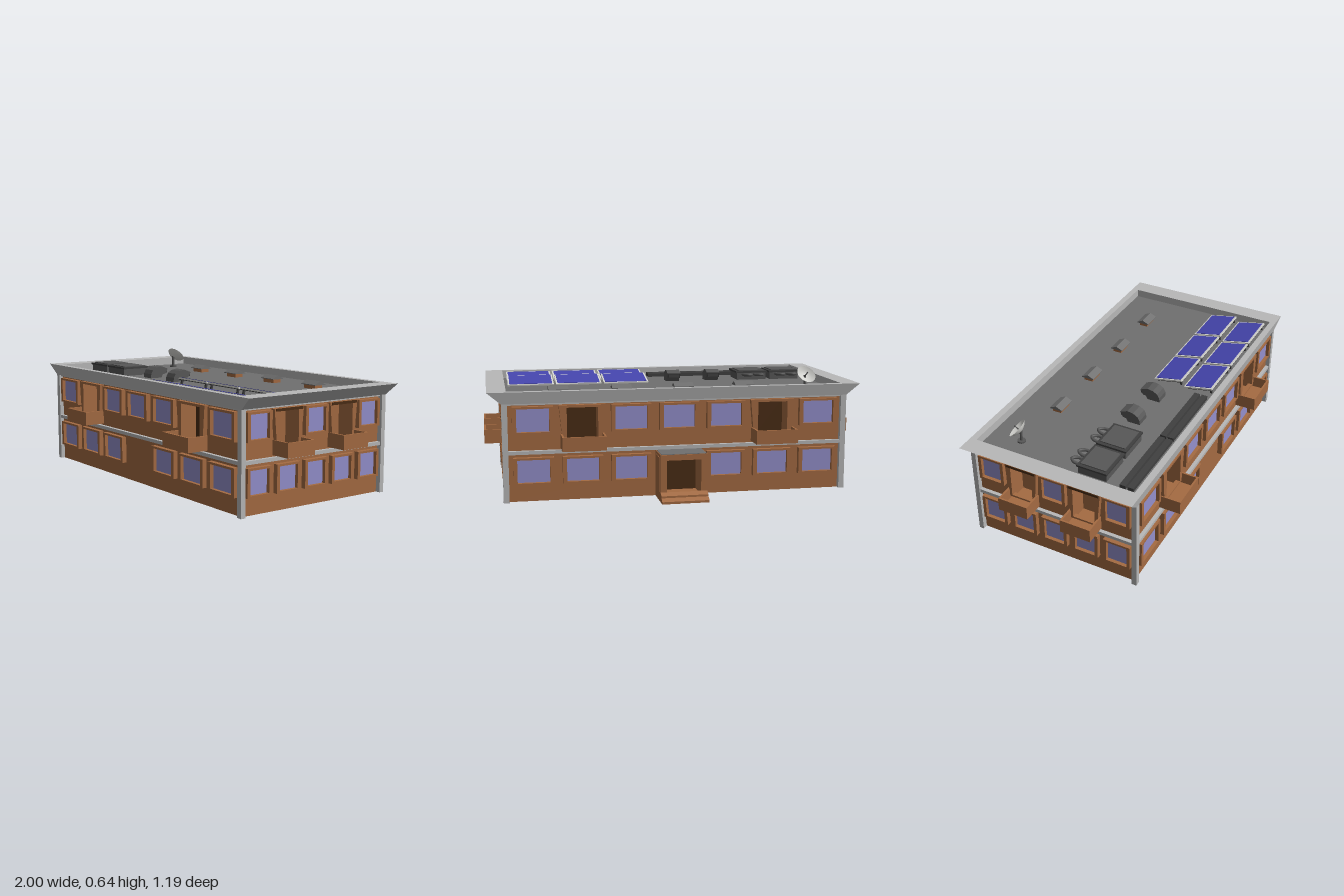
import * as THREE from 'three';

const mat = (name, color) => {
  const m = new THREE.MeshStandardMaterial({ color, side: THREE.DoubleSide });
  m.name = name;
  return m;
};

export function createModel() {
  const brick = mat('brick brown', 0xa56b42), shade = mat('dark brown', 0x4a2c14);
  const glass = mat('window lilac', 0x9490cc), trim = mat('light grey', 0xb8b8b8);
  const roof = mat('roof grey', 0x707070), metal = mat('unit grey', 0x585858);
  const dark = mat('dark grey', 0x404040), blue = mat('solar blue', 0x4646ae);
  const white = mat('pale frame', 0xd6d6d2);

  const model = new THREE.Group();
  const HX = 0.885, HZ = 0.4425, CZ = 0.0425, FLOOR = 0.527; // wall half sizes, plan centre, roof deck

  const add = (parent, name, geo, m, x = 0, y = 0, z = 0) => {
    const mesh = new THREE.Mesh(geo, m);
    mesh.name = name;
    mesh.position.set(x, y, z);
    parent.add(mesh);
    return mesh;
  };
  // box given by its limits
  const box = (parent, name, m, x0, x1, y0, y1, z0, z1) =>
    add(parent, name, new THREE.BoxGeometry(x1 - x0, y1 - y0, z1 - z0), m, (x0 + x1) / 2, (y0 + y1) / 2, (z0 + z1) / 2);
  const poly = (pts) => pts.map(([x, y]) => new THREE.Vector2(x, y));
  const rect = (x0, x1, y0, y1) => poly([[x0, y0], [x1, y0], [x1, y1], [x0, y1]]);
  const plate = (outline, holes, depth) => {
    const s = new THREE.Shape(outline);
    holes.forEach((h) => s.holes.push(new THREE.Path(h)));
    return new THREE.ExtrudeGeometry(s, { depth, bevelEnabled: false });
  };
  const group = (parent, name, x = 0, y = 0, z = 0) => {
    const g = new THREE.Group();
    g.name = name;
    g.position.set(x, y, z);
    parent.add(g);
    return g;
  };

  // raised frame with a pane set into it
  function addWindow(parent, x, y, hw, gw) {
    const g = group(parent, 'window', x, y, 0);
    add(g, 'windowFrame', plate(rect(-hw, hw, -0.071, 0.071), [rect(-gw, gw, -0.06, 0.06)], 0.026), brick);
    box(g, 'windowPane', glass, -gw, gw, -0.06, 0.06, 0.001, 0.007);
  }

  // splayed door surround with an open-topped balcony in front
  function addBalcony(parent, x, hw, dw, side) {
    const g = group(parent, 'balcony', x, 0, 0);
    const fw = hw + 0.008;
    add(g, 'doorSurround', plate(
      poly([[-fw + 0.018, 0.3], [fw - 0.018, 0.3], [fw, 0.497], [-fw, 0.497]]),
      [rect(-dw, dw, 0.31, 0.484)], 0.024), brick);
    if (side) box(g, 'lintelShade', shade, -hw, hw, 0.484, 0.497, 0.02, 0.028);
    else box(g, 'doorway', shade, -dw, dw, 0.28, 0.485, -0.074, -0.068);
    box(g, 'balconyFloor', brick, -hw, hw, 0.274, 0.286, 0, 0.114);
    box(g, 'balconyFront', brick, -hw, hw, 0.274, 0.347, 0.104, 0.114);
    for (const s of [-1, 1])
      box(g, 'balconySide', brick, s * hw - (s > 0 ? 0.01 : 0), s * hw + (s > 0 ? 0 : 0.01), 0.274, 0.347, 0, 0.114);
  }

  // one facade: local z points outward from the wall plane
  function addFacade(name, half, count, step, side, pos, turn) {
    const g = group(model, name, ...pos);
    g.rotation.y = turn;
    const mid = (count - 1) / 2;
    const bw = side ? 0.083 : 0.112, dw = side ? 0.06 : 0.08;
    const holes = [];
    for (let i = 0; i < count; i++) {
      const x = (i - mid) * step, balcony = i === 1 || i === count - 2;
      const hw = side ? 0.073 : 0.104, gw = side ? 0.056 : 0.083;
      if (balcony) {
        holes.push(rect(x - dw, x + dw, 0.286, 0.484));
        addBalcony(g, x, bw, dw, side);
      } else addWindow(g, x, 0.423, hw, gw);
      if (side || i !== mid) addWindow(g, x, 0.16, hw, gw);
    }
    add(g, 'wall', plate(rect(-half, half, 0, 0.515), holes, 0.08), brick, 0, 0, -0.08);
    box(g, 'floorBand', trim, -half, half, 0.248, 0.266, -0.01, 0.02);
    box(g, 'upperBand', trim, -half, half, 0.501, 0.515, -0.01, 0.012);
  }
  addFacade('frontFacade', HX, 7, 0.252, false, [0, 0, CZ + HZ], 0);
  addFacade('backFacade', HX, 7, 0.252, false, [0, 0, CZ - HZ], Math.PI);
  addFacade('leftFacade', HZ, 5, 0.177, true, [HX, 0, CZ], Math.PI / 2);
  addFacade('rightFacade', HZ, 5, 0.177, true, [-HX, 0, CZ], -Math.PI / 2);

  // core and corner posts
  box(model, 'core', brick, -HX + 0.075, HX - 0.075, 0, 0.515, CZ - HZ + 0.075, CZ + HZ - 0.075);
  for (const sx of [-1, 1]) for (const sz of [-1, 1])
    add(model, 'cornerPost', new THREE.BoxGeometry(0.03, 0.515, 0.026), trim, sx * 0.897, 0.2575, CZ + sz * 0.453);

  // flared cornice lofted through rectangular loops
  const loops = [[0.88, 0.51, 0.438], [0.912, 0.51, 0.466], [0.983, 0.571, 0.477], [HX, 0.571, HZ], [HX, FLOOR - 0.005, HZ]];
  const corners = [[-1, 1], [1, 1], [1, -1], [-1, -1]];
  const verts = [];
  const corner = (l, k) => [l[0] * corners[k % 4][0], l[1], CZ + l[2] * corners[k % 4][1]];
  for (let i = 0; i < loops.length - 1; i++) for (let k = 0; k < 4; k++) {
    const a = corner(loops[i], k), b = corner(loops[i], k + 1);
    const c = corner(loops[i + 1], k + 1), d = corner(loops[i + 1], k);
    verts.push(...a, ...b, ...c, ...a, ...c, ...d);
  }
  const cornice = new THREE.BufferGeometry();
  cornice.setAttribute('position', new THREE.Float32BufferAttribute(verts, 3));
  cornice.computeVertexNormals();
  add(model, 'cornice', cornice, trim);
  box(model, 'roofDeck', roof, -HX, HX, 0.512, FLOOR, CZ - HZ, CZ + HZ);

  // back entrance porch with steps
  const porch = group(model, 'porch');
  add(porch, 'porchPortal', plate(
    poly([[-0.123, 0], [0.123, 0], [0.123, 0.244], [-0.123, 0.244]]),
    [rect(-0.09, 0.09, 0.03, 0.215)], 0.145), brick, 0, 0, -0.545);
  box(porch, 'porchRoof', roof, -0.118, 0.118, 0.24, 0.247, -0.54, -0.4);
  box(porch, 'porchDoor', shade, -0.09, 0.09, 0.03, 0.215, -0.408, -0.402);
  for (const s of [-1, 1])
    add(porch, 'porchSidePanel', new THREE.BoxGeometry(0.006, 0.18, 0.105), brick, s * 0.123, 0.14, -0.475);
  const steps = new THREE.ExtrudeGeometry(new THREE.Shape(poly(
    [[0.54, 0], [0.595, 0], [0.595, 0.012], [0.57, 0.026], [0.57, 0.036], [0.545, 0.05], [0.54, 0.05]])),
    { depth: 0.246, bevelEnabled: false });
  add(porch, 'porchSteps', steps, brick, -0.123, 0, 0).rotation.y = Math.PI / 2;

  // solar panels, raised towards the front
  for (const z of [0.2, 0.378]) for (const x of [0.197, 0.467, 0.735]) {
    const g = group(model, 'solarPanel', x, FLOOR + 0.02, z);
    g.rotation.x = -0.2;
    box(g, 'panelFrame', white, -0.128, 0.128, -0.005, 0.004, -0.083, 0.083);
    box(g, 'panelCells', blue, -0.119, 0.119, 0, 0.006, -0.074, 0.074);
    box(g, 'panelBack', dark, -0.126, 0.126, -0.009, -0.005, -0.081, 0.081);
    for (const s of [-1, 1]) box(g, 'panelLeg', dark, s * 0.11 - 0.005, s * 0.11 + 0.005, -0.03, -0.005, 0.065, 0.075);
  }

  // cooling units with looped pipes
  for (const x of [-0.746, -0.548]) {
    const g = group(model, 'coolingUnit', x, FLOOR, 0.228);
    box(g, 'unitBody', metal, -0.086, 0.086, 0, 0.046, -0.078, 0.078);
    box(g, 'unitRim', dark, -0.093, 0.093, 0.04, 0.05, -0.083, 0.083);
    box(g, 'unitLid', metal, -0.076, 0.076, 0.05, 0.055, -0.068, 0.068);
    for (const px of [-0.038, 0.03]) {
      const path = new THREE.CatmullRomCurve3([[-0.021, 0.03, -0.07], [-0.02, 0.032, -0.115], [0, 0.034, -0.138],
        [0.02, 0.032, -0.115], [0.021, 0.03, -0.07]].map((p) => new THREE.Vector3(...p)));
      add(g, 'unitPipe', new THREE.TubeGeometry(path, 16, 0.008, 8), metal, px, 0, 0);
    }
  }

  // curved air hoods, mouths to the back
  const hoodShape = new THREE.Shape(poly([[-0.24, 0.525], [-0.238, 0.55], [-0.226, 0.572], [-0.2, 0.587], [-0.168, 0.592],
    [-0.125, 0.576], [-0.142, 0.548], [-0.16, 0.545], [-0.17, 0.525]]));
  for (const x of [-0.35, -0.119]) {
    const geo = new THREE.ExtrudeGeometry(hoodShape, { depth: 0.076, bevelEnabled: false });
    add(model, 'airHood', geo, metal, x, 0, 0).rotation.y = Math.PI / 2;
    box(model, 'hoodMouth', dark, x + 0.008, x + 0.068, 0.552, 0.57, 0.126, 0.15);
  }

  // small gabled roof vents
  for (const x of [-0.402, -0.065, 0.272, 0.609]) {
    const g = group(model, 'roofVent', x, FLOOR, -0.2);
    box(g, 'ventBase', brick, -0.042, 0.042, 0, 0.024, -0.025, 0.025);
    const gable = plate(poly([[-0.036, 0.02], [0.036, 0.02], [0.036, 0.024], [0, 0.041], [-0.036, 0.024]]), [], 0.106);
    add(g, 'ventCap', gable, roof, -0.053, 0, 0).rotation.y = Math.PI / 2;
  }

  // long duct rails
  for (const [x0, x1] of [[-0.84, -0.412], [-0.4, 0.026]]) for (const z of [0.396, 0.438])
    box(model, 'ductRail', dark, x0, x1, FLOOR, FLOOR + 0.02, z - 0.016, z + 0.016);

  // dish on a short post, facing up and back
  const dish = group(model, 'dish', -0.745, 0.6, -0.245);
  const bowl = new THREE.LatheGeometry(poly([[0, -0.022], [0.02, -0.019], [0.04, -0.009], [0.055, 0.005]]), 20);
  const tilt = group(dish, 'dishHead');
  tilt.rotation.set(-0.8, 0, 0.2);
  add(tilt, 'dishBowl', bowl, white);
  add(tilt, 'dishArm', new THREE.CylinderGeometry(0.003, 0.003, 0.045, 6), metal);
  add(dish, 'dishPost', new THREE.CylinderGeometry(0.007, 0.007, 0.07, 8), metal, 0, -0.04, 0.018);
  add(dish, 'dishFoot', new THREE.CylinderGeometry(0.022, 0.022, 0.008, 12), metal, 0, -0.069, 0.018);

  return model;
}
